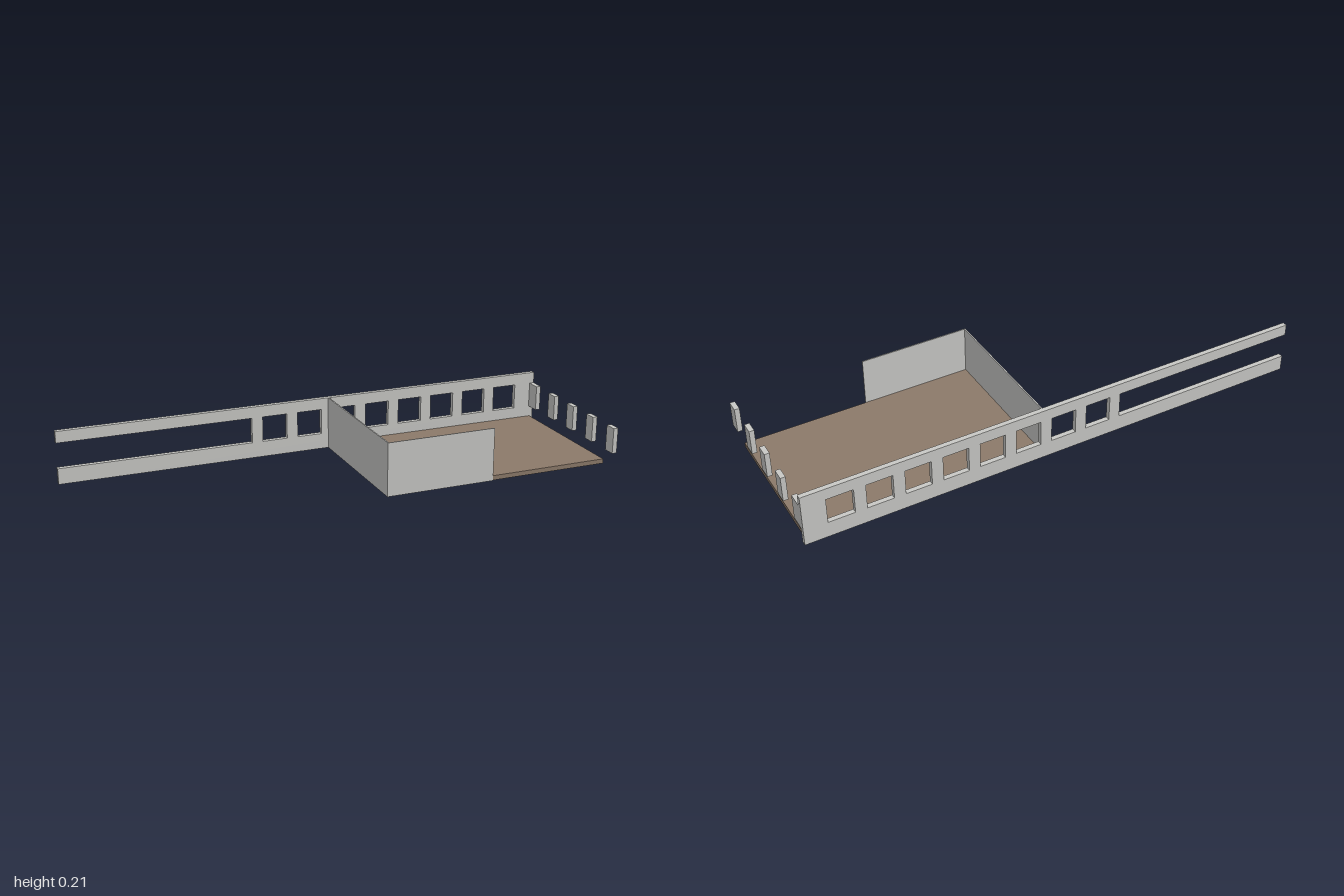
import * as THREE from 'three';

export function createModel() {
  const model = new THREE.Group();
  const plaster = new THREE.MeshStandardMaterial({ color: 0xc9c9c6 });
  plaster.name = 'grey plaster';
  const wood = new THREE.MeshStandardMaterial({ color: 0x8c7a6a });
  wood.name = 'brown floor';

  const H = 0.207, sill = 0.062, head = 0.162;
  const thick = 0.019, wallZ = -0.327, innerZ = wallZ + thick;

  // box given by its minimum and maximum corners
  function block(name, material, [x0, y0, z0], [x1, y1, z1]) {
    const mesh = new THREE.Mesh(new THREE.BoxGeometry(x1 - x0, y1 - y0, z1 - z0), material);
    mesh.position.set((x0 + x1) / 2, (y0 + y1) / 2, (z0 + z1) / 2);
    mesh.name = name;
    model.add(mesh);
  }

  // long back wall: outline with an open slot at the far end
  const slotEnd = -0.243;
  const outline = new THREE.Shape([
    [-1, 0], [1, 0], [1, H], [-1, H],
    [-1, head], [slotEnd, head], [slotEnd, sill], [-1, sill],
  ].map(([x, y]) => new THREE.Vector2(x, y)));

  // row of eight windows
  for (let i = 0; i < 8; i++) {
    const x = -0.199 + i * 0.1443, w = 0.1;
    outline.holes.push(new THREE.Path([
      [x, sill], [x, head], [x + w, head], [x + w, sill],
    ].map(([px, py]) => new THREE.Vector2(px, py))));
  }
  const backWall = new THREE.Mesh(
    new THREE.ExtrudeGeometry(outline, { depth: thick, bevelEnabled: false }), plaster);
  backWall.position.z = wallZ;
  backWall.name = 'backWall';
  model.add(backWall);

  // floor slab
  block('floor', wood, [0.079, 0, innerZ], [0.986, 0.018, 0.262]);

  // thin partition walls
  block('sidePartition', plaster, [0.074, 0, innerZ], [0.079, H, 0.262]);
  block('frontPartition', plaster, [0.074, 0, 0.262], [0.505, H, 0.266]);

  // window piers along the open end, the last one joined to the back wall
  const piers = [[innerZ, -0.25], [-0.153, -0.105], [-0.009, 0.039], [0.135, 0.182], [0.279, 0.327]];
  piers.forEach(([z0, z1], i) =>
    block('windowPier' + (i + 1), plaster, [0.981, sill, z0], [1, head, z1]));

  return model;
}
